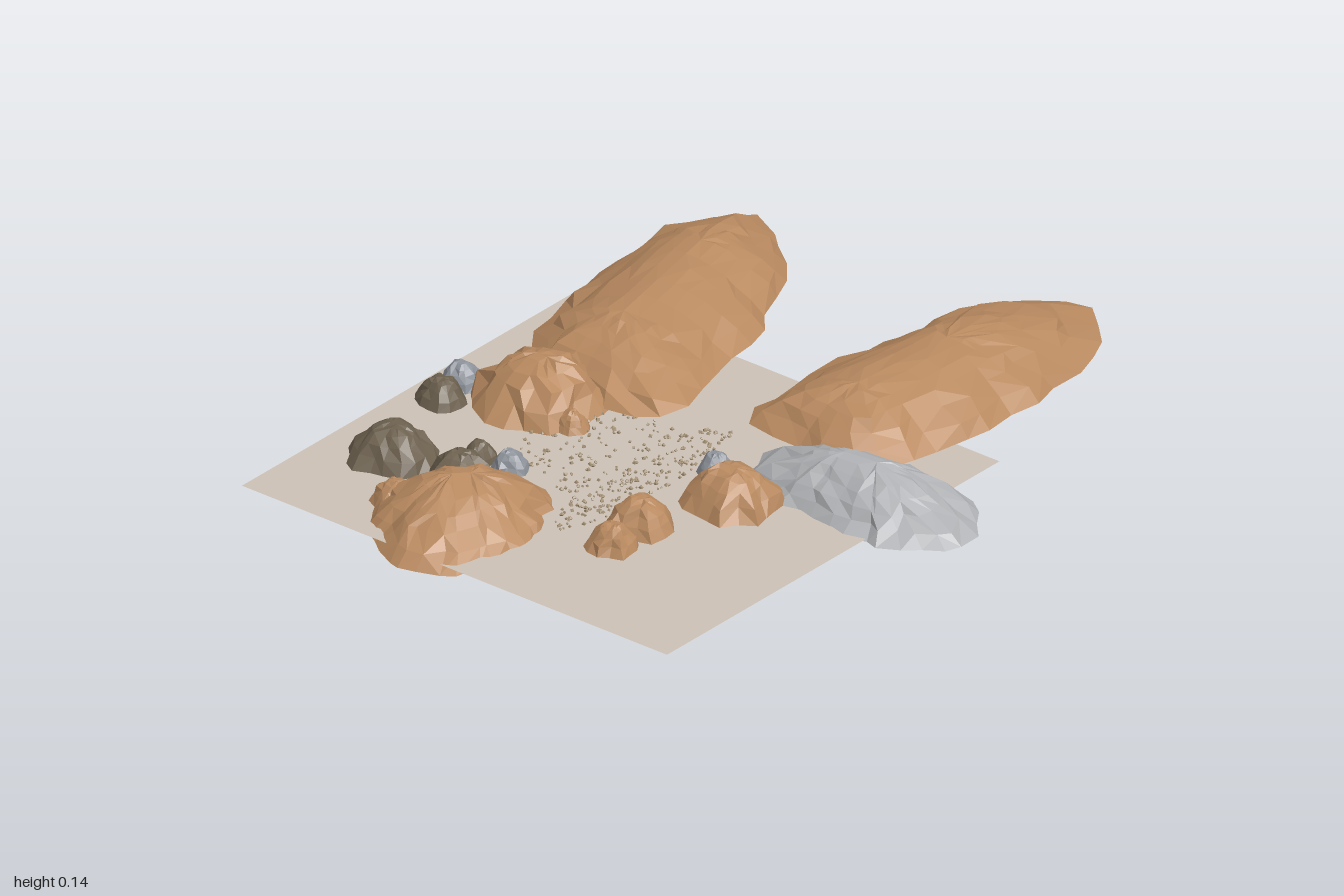
import * as THREE from 'three';
import { mergeGeometries } from 'three/addons/utils/BufferGeometryUtils.js';

const BROWN = 0xb98a60, DARK = 0x6e6250, GREY = 0xb0b2b5, SLATE = 0x8f949c;
const SAND = 0xcdc1b6, PEBBLE = 0xa8957a;

function seeded(seed) {
  let s = seed * 7919 + 17;
  return () => (s = (s * 16807) % 2147483647) / 2147483647;
}

// Open faceted dome: rings shrink from an outline onto a ridge running from a to b.
function domeGeometry(outline, a, b, base, top, power, rough, rings, seed) {
  const rnd = seeded(seed), n = outline.length, pos = [], idx = [];
  const ridge = new THREE.Line3(a, b);
  const foot = new THREE.Vector3(), arm = new THREE.Vector3();
  for (let r = 0; r <= rings; r++) {
    const t = 1 - r / rings;
    const j = r > 0 && r < rings ? rough : 0;
    for (const p of outline) {
      ridge.closestPointToPoint(p, true, foot);
      arm.subVectors(p, foot);
      const s = t * (1 + (rnd() - 0.5) * j);
      const side = t * (rnd() - 0.5) * j * 0.5;
      const y = base + (top - base) * (1 - t ** power) * (1 + (rnd() - 0.5) * j * 0.45);
      pos.push(foot.x + arm.x * s - arm.z * side, y, foot.z + arm.z * s + arm.x * side);
    }
  }
  for (let r = 0; r < rings; r++) {
    for (let i = 0; i < n; i++) {
      const A = r * n + i, B = r * n + (i + 1) % n, C = B + n, D = A + n;
      if (rnd() < 0.5) idx.push(A, D, C, A, C, B);
      else idx.push(A, D, B, B, D, C);
    }
  }
  const g = new THREE.BufferGeometry();
  g.setAttribute('position', new THREE.Float32BufferAttribute(pos, 3));
  g.setIndex(idx);
  const flat = g.toNonIndexed();
  flat.computeVertexNormals();
  return flat;
}

// Ragged footprint through a few [x, z] points.
function raggedOutline(points, n, seed) {
  const rnd = seeded(seed);
  const curve = new THREE.CatmullRomCurve3(points.map(([x, z]) => new THREE.Vector3(x, 0, z)), true, 'centripetal');
  return curve.getSpacedPoints(n).slice(0, n).map(p =>
    p.add(new THREE.Vector3(rnd() - 0.5, 0, rnd() - 0.5).multiplyScalar(0.03)));
}

// Ragged circle for the smaller stones.
function roundOutline(x, z, r, n, seed) {
  const rnd = seeded(seed);
  return Array.from({ length: n }, (_, i) => {
    const angle = (i + rnd() * 0.4) / n * Math.PI * 2, q = r * (0.86 + rnd() * 0.26);
    return new THREE.Vector3(x + Math.cos(angle) * q, 0, z + Math.sin(angle) * q);
  });
}

export function createModel() {
  const model = new THREE.Group();
  const add = (name, geometry, color) => {
    const material = new THREE.MeshStandardMaterial({ color, flatShading: true, side: THREE.DoubleSide });
    const mesh = new THREE.Mesh(geometry, material);
    mesh.name = name;
    model.add(mesh);
    return mesh;
  };

  // Ground sheet
  const ground = add('ground', new THREE.PlaneGeometry(1.295, 1.225).rotateX(-Math.PI / 2), SAND);
  ground.position.set(-0.09, 0.016, 0.3275);

  // Large boulders
  const boulder = (name, color, points, [ax, az], [bx, bz], base, top, power, seed) => {
    const a = new THREE.Vector3(ax, 0, az), b = new THREE.Vector3(bx, 0, bz);
    add(name, domeGeometry(raggedOutline(points, 30, seed), a, b, base, top, power, 0.17, 6, seed + 8), color);
  };
  boulder('backRightBoulder', BROWN,
    [[-0.63, -0.83], [-0.41, -0.67], [-0.26, -0.34], [-0.19, 0.09], [-0.42, 0.11], [-0.62, 0.03], [-0.71, -0.22], [-0.75, -0.62]],
    [-0.53, -0.5], [-0.45, -0.12], 0.024, 0.138, 1.9, 3);
  boulder('backLeftBoulder', BROWN,
    [[0.265, -1], [0.41, -0.77], [0.45, -0.5], [0.36, -0.04], [0.16, -0.02], [-0.01, -0.05], [-0.02, -0.45], [0.065, -0.84]],
    [0.22, -0.5], [0.2, -0.2], 0.024, 0.14, 1.9, 4);
  boulder('greyBoulder', GREY,
    [[0.43, -0.1], [0.65, -0.08], [0.75, 0.06], [0.64, 0.2], [0.46, 0.225], [0.2, 0.17], [0.1, 0.06]],
    [0.38, 0.07], [0.47, 0.06], 0.012, 0.13, 1.5, 5);
  boulder('frontBoulder', BROWN,
    [[-0.17, 0.49], [-0.03, 0.73], [-0.1, 0.94], [-0.25, 0.995], [-0.47, 0.78], [-0.32, 0.51]],
    [-0.26, 0.74], [-0.23, 0.71], 0, 0.132, 1.6, 6);

  // Smaller stones, each taller the wider it is, with a short crest
  const stone = (name, color, x, z, r, seed) => {
    const a = new THREE.Vector3(x - r * 0.1, 0, z), b = new THREE.Vector3(x + r * 0.1, 0, z);
    const outline = roundOutline(x, z, r, r > 0.1 ? 18 : 13, seed);
    add(name, domeGeometry(outline, a, b, 0.013, 0.04 + 0.6 * r, 2.1, 0.26, 5, seed + 20), color);
  };
  stone('rightStone', BROWN, -0.46, 0.17, 0.165, 31);
  stone('rightStoneChip', BROWN, -0.32, 0.23, 0.042, 32);
  stone('rightSlateStone', SLATE, -0.66, 0.228, 0.058, 33);
  stone('rightDarkStone', DARK, -0.64, 0.32, 0.066, 34);
  stone('frontDarkStone', DARK, -0.55, 0.605, 0.112, 35);
  stone('middleDarkStone', DARK, -0.36, 0.59, 0.088, 36);
  stone('smallDarkStone', DARK, -0.39, 0.485, 0.046, 37);
  stone('frontSlateStone', SLATE, -0.305, 0.475, 0.047, 38);
  stone('frontBoulderChip', BROWN, -0.41, 0.77, 0.06, 39);
  stone('leftStone', BROWN, 0.205, 0.27, 0.122, 40);
  stone('leftSlateStone', SLATE, 0.078, 0.18, 0.05, 41);
  stone('leftMiddleStone', BROWN, 0.11, 0.495, 0.088, 42);
  stone('leftFrontStone', BROWN, 0.125, 0.615, 0.066, 43);

  // Scattered gravel in the clearing
  const rnd = seeded(5), pebbles = [];
  while (pebbles.length < 340) {
    const x = -0.39 + rnd() * 0.43, z = rnd() * 0.63;
    const strip = Math.hypot((x + 0.04) / 0.08, (z - 0.31) / 0.33) < 1;
    const patch = Math.hypot((x + 0.17) / 0.21, (z - 0.28) / 0.2) < 1 && rnd() < 0.5;
    if (!strip && !patch) continue;
    const g = new THREE.OctahedronGeometry(0.003 + rnd() * 0.004);
    pebbles.push(g.rotateX(rnd() * 3).rotateY(rnd() * 3).translate(x, 0.018, z));
  }
  add('gravel', mergeGeometries(pebbles), PEBBLE);

  return model;
}
